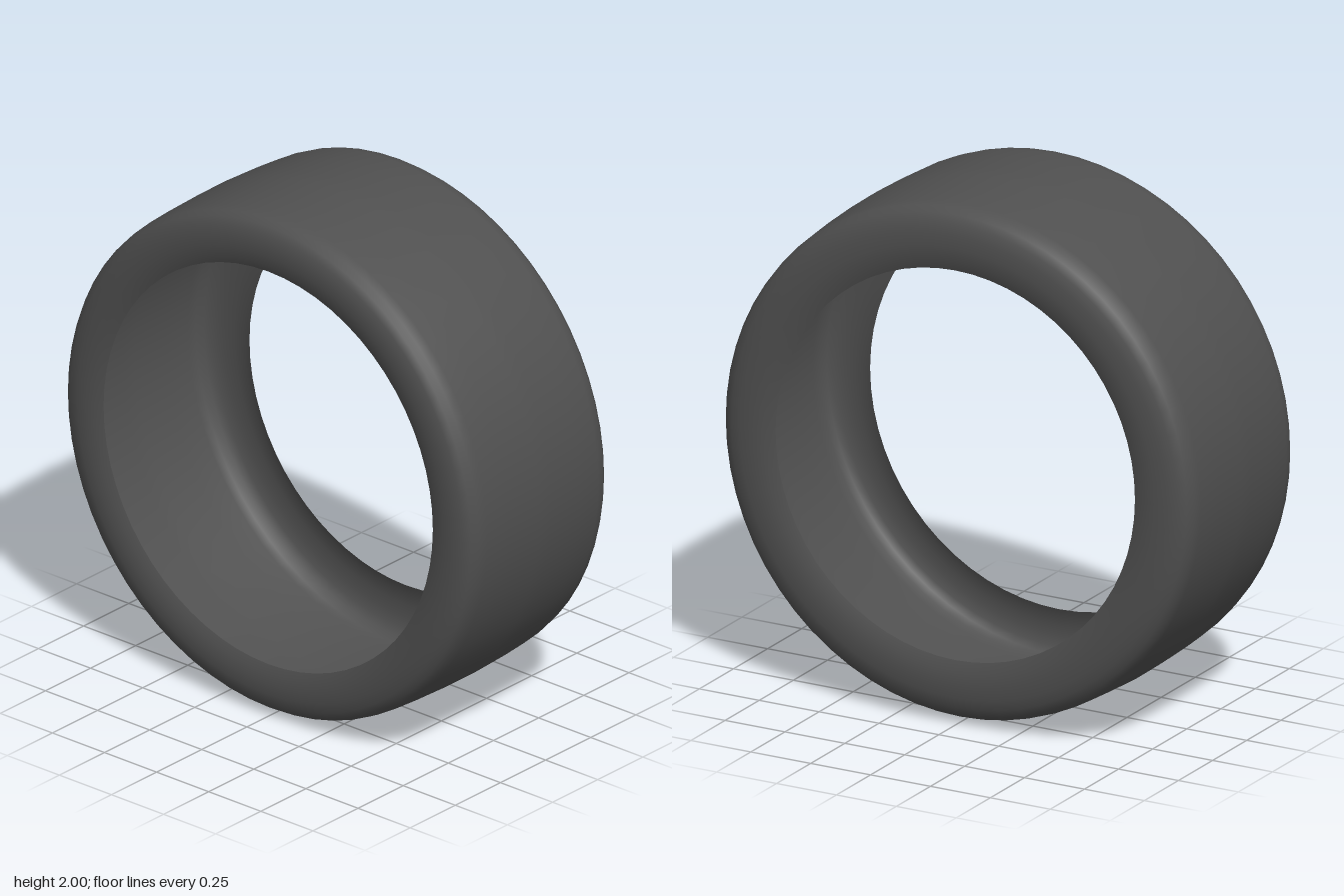
import * as THREE from 'three';

export function createModel() {
  const group = new THREE.Group();
  const rubber = new THREE.MeshStandardMaterial({ color: 0x505050, side: THREE.DoubleSide });
  rubber.name = 'dark rubber';

  // Cross-section of the hollow tyre as [radius, z], from back bead to front bead
  const profile = [
    [0.75, -0.38], [0.79, -0.395], [0.84, -0.4], [0.89, -0.397], [0.93, -0.388],
    [0.96, -0.37], [0.978, -0.345], [0.985, -0.31], [0.993, -0.2], [1.0, -0.03],
    [1.0, 0.03], [0.995, 0.2], [0.989, 0.31], [0.982, 0.35], [0.967, 0.375],
    [0.94, 0.392], [0.9, 0.4], [0.86, 0.4], [0.82, 0.394], [0.79, 0.382],
  ].map(([r, z]) => new THREE.Vector2(r, z));

  // Open shell of revolution, turned so its axle lies along z
  const geometry = new THREE.LatheGeometry(profile, 64);
  geometry.rotateX(Math.PI / 2);
  const tyre = new THREE.Mesh(geometry, rubber);
  tyre.name = 'tyre';
  tyre.position.y = 1;
  group.add(tyre);

  return group;
}
